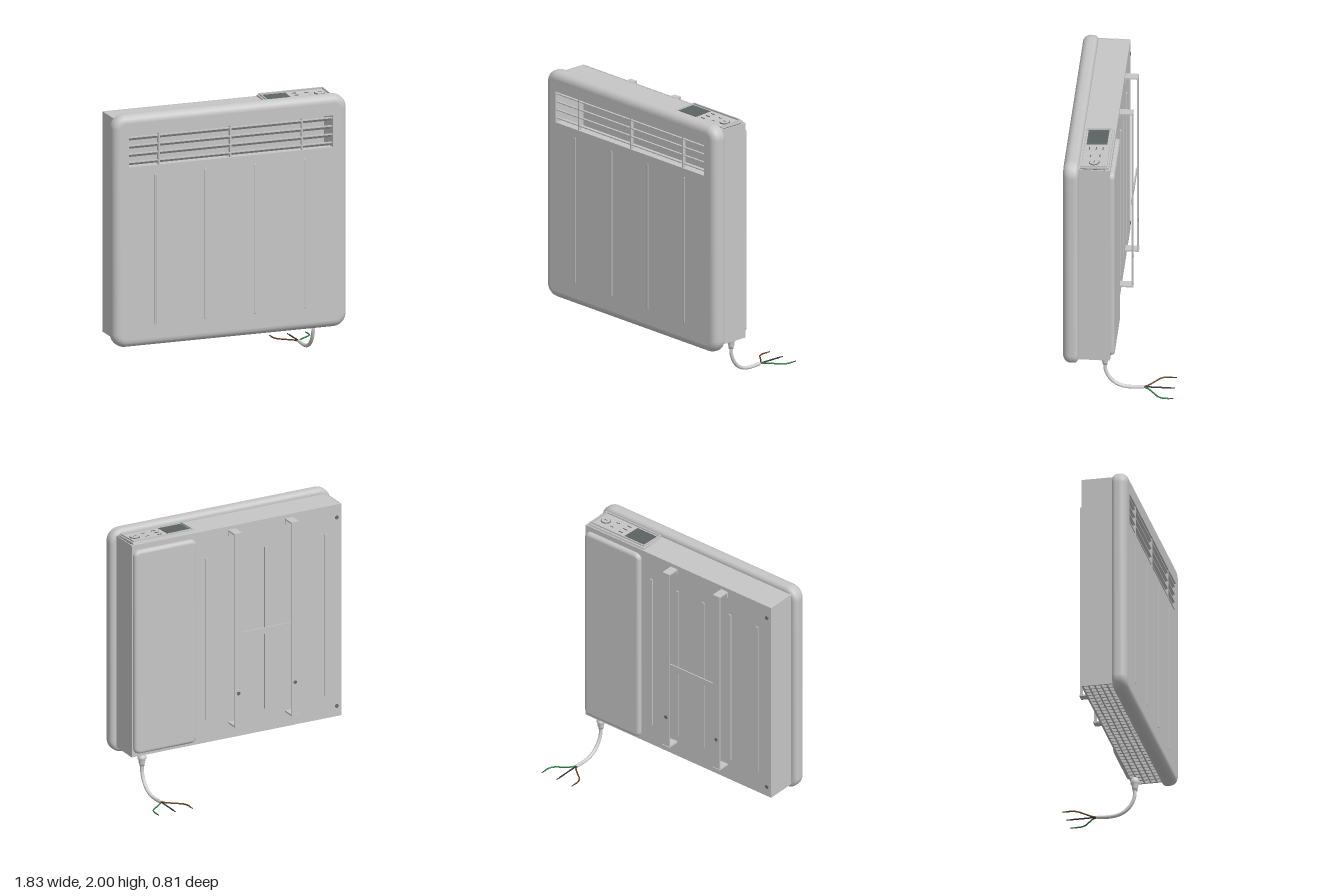
import * as THREE from 'three';

const mat = (name, color, side = THREE.FrontSide) => {
  const m = new THREE.MeshStandardMaterial({ color, side });
  m.name = name;
  return m;
};

export function createModel() {
  const root = new THREE.Group();
  root.name = 'panelHeater';
  const casing = mat('casing grey', 0xc6c6c6, THREE.DoubleSide);
  const screen = mat('screen grey', 0x5c6363);
  const mark = mat('marking grey', 0x6a6a6a);
  const cableMat = mat('cable light grey', 0xd2d2d2);
  const brown = mat('wire brown', 0x6b3f1e);
  const green = mat('wire green', 0x2e8040);
  const dark = mat('wire dark', 0x333333);

  const add = (name, geo, material, parent = root) => {
    const m = new THREE.Mesh(geo, material);
    m.name = name;
    parent.add(m);
    return m;
  };
  // Box given by its minimum and maximum corners
  const box = (name, x0, x1, y0, y1, z0, z1, material = casing, parent = root) => {
    const m = add(name, new THREE.BoxGeometry(x1 - x0, y1 - y0, z1 - z0), material, parent);
    m.position.set((x0 + x1) / 2, (y0 + y1) / 2, (z0 + z1) / 2);
    return m;
  };

  // Rounded rectangle points, counter-clockwise, around the origin
  const roundRect = (w, h, r, n = 8) => {
    const pts = [];
    [[1, 1], [-1, 1], [-1, -1], [1, -1]].forEach(([sx, sy], q) => {
      for (let i = 0; i <= n; i++) {
        const a = (q + i / n) * Math.PI / 2;
        pts.push(new THREE.Vector2(sx * (w / 2 - r) + r * Math.cos(a), sy * (h / 2 - r) + r * Math.sin(a)));
      }
    });
    return pts;
  };
  // Smooth rim through rounded rectangles; profile is [inset, z] pairs
  const rim = (w, h, r, profile) => {
    const pos = [], idx = [];
    let n = 0;
    profile.forEach(([inset, z]) => {
      const pts = roundRect(w - 2 * inset, h - 2 * inset, r - inset);
      n = pts.length;
      pts.forEach(p => pos.push(p.x, p.y, z));
    });
    for (let k = 0; k < profile.length - 1; k++) {
      for (let i = 0; i < n; i++) {
        const a = k * n + i, b = k * n + (i + 1) % n;
        idx.push(a, b, b + n, a, b + n, a + n);
      }
    }
    const g = new THREE.BufferGeometry();
    g.setAttribute('position', new THREE.Float32BufferAttribute(pos, 3));
    g.setIndex(idx);
    g.computeVertexNormals();
    return g;
  };
  const arc = (r, cz, from, to, n = 7) => Array.from({ length: n + 1 }, (_, i) => {
    const a = from + (to - from) * i / n;
    return [r - r * Math.cos(a), cz + r * Math.sin(a)];
  });

  // Front panel: rounded rim, face with the outlet opening, back border
  const front = new THREE.Group();
  front.name = 'frontPanel';
  front.position.y = 1.128;
  root.add(front);
  const W = 1.83, H = 1.744, R = 0.1;
  add('panelRim', rim(W, H, R, [...arc(0.035, 0.328, -Math.PI / 2, 0), ...arc(0.055, 0.35, 0, Math.PI / 2)]), casing, front);
  const rectHole = (w, h, cy, r) => new THREE.Path(roundRect(w, h, r, 3).map(p => p.add(new THREE.Vector2(0, cy))));
  const face = new THREE.Shape(roundRect(W - 0.11, H - 0.11, R - 0.055));
  face.holes.push(rectHole(1.61, 0.255, 0.605, 0.015));
  add('panelFace', new THREE.ShapeGeometry(face), casing, front).position.z = 0.405;
  const border = new THREE.Shape(roundRect(W - 0.07, H - 0.07, R - 0.035));
  border.holes.push(rectHole(1.72, 1.64, 0.002, 0.01));
  add('panelBack', new THREE.ShapeGeometry(border), casing, front).position.z = 0.293;

  // Pressed vertical ribs on the face
  for (const x of [-0.59, -0.2, 0.19, 0.58]) {
    const rib = add('frontRib', new THREE.CapsuleGeometry(0.01, 1.11, 4, 10), casing);
    rib.scale.z = 0.4;
    rib.position.set(x, 0.985, 0.405);
  }

  // Air outlet: frame, angled louvres and dividers
  for (const s of [-1, 1]) {
    const x = s * 0.803, y = 1.733 + s * 0.124;
    box('outletSide', x - 0.006, x + 0.006, 1.605, 1.86, 0.3, 0.405);
    box('outletEdge', -0.805, 0.805, y - 0.005, y + 0.005, 0.3, 0.405);
  }
  for (let i = 0; i < 4; i++) {
    const y = 1.816 - i * 0.062;
    const louvre = box('louvre', -0.8, 0.8, y - 0.002, y + 0.002, 0.335, 0.395);
    louvre.rotation.x = -0.55;
    box('louvreLip', -0.8, 0.8, y + 0.013, y + 0.021, 0.382, 0.398);
  }
  for (const x of [-0.56, 0, 0.56]) box('outletDivider', x - 0.006, x + 0.006, 1.605, 1.86, 0.375, 0.4);

  // Hollow rear body
  box('backPlate', -0.87, 0.87, 0.305, 1.96, 0.062, 0.072);
  box('topPlate', -0.87, 0.87, 1.948, 1.958, 0.062, 0.3);
  for (const s of [-1, 1]) box('sidePlate', s * 0.865 - 0.005, s * 0.865 + 0.005, 0.305, 1.96, 0.062, 0.3);

  // Bottom air inlet grid
  for (let i = 0; i <= 5; i++) {
    const z = 0.07 + i * 0.045;
    box('inletLongBar', -0.87, 0.87, 0.305, 0.317, z - 0.006, z + 0.006);
  }
  for (let i = 0; i <= 32; i++) {
    const x = -0.862 + i * 1.724 / 32;
    box('inletCrossBar', x - 0.006, x + 0.006, 0.306, 0.316, 0.066, 0.3);
  }

  // Rounded electronics cover on the back
  const cover = new THREE.Group();
  cover.name = 'backCover';
  cover.position.set(0.602, 1.125, 0);
  cover.rotation.y = Math.PI;
  root.add(cover);
  add('coverRim', rim(0.516, 1.59, 0.045, [[0, -0.065], ...arc(0.025, -0.055, 0, Math.PI / 2, 5)]), casing, cover);
  add('coverFace', new THREE.ShapeGeometry(new THREE.Shape(roundRect(0.466, 1.54, 0.02))), casing, cover).position.z = -0.03;

  // Pressed ribs and screws on the back plate
  for (const x of [0.25, 0.005, -0.24, -0.485, -0.74]) box('backRib', x - 0.012, x + 0.012, 0.48, 1.745, 0.053, 0.064);
  const screw = (x, y, z) => {
    const m = add('screw', new THREE.CylinderGeometry(0.014, 0.014, 0.008, 16), mark);
    m.rotation.x = Math.PI / 2;
    m.position.set(x, y, z);
  };
  for (const y of [0.385, 1.86]) screw(-0.83, y, 0.06);

  // Wall bracket: two rails with arms, joined by a crossbar
  for (const x of [-0.433, 0.038]) {
    box('bracketRail', x - 0.032, x + 0.032, 0.42, 1.932, -0.034, -0.026);
    box('bracketTopArm', x - 0.032, x + 0.032, 1.922, 1.932, -0.034, 0.064);
    box('bracketTopLip', x - 0.032, x + 0.032, 1.885, 1.932, 0.052, 0.062);
    box('bracketBottomArm', x - 0.032, x + 0.032, 0.42, 0.432, -0.04, 0.064);
    screw(x, 0.68, -0.033);
  }
  box('bracketCrossbar', -0.41, 0.01, 1.1, 1.15, -0.026, 0.018 - 0.036);

  // Control unit on top, sloping down towards the front
  const wedge = new THREE.Shape([[-0.288, 1.945], [-0.066, 1.945], [-0.075, 1.975], [-0.288, 1.962]].map(p => new THREE.Vector2(...p)));
  const unit = add('controlUnit', new THREE.ExtrudeGeometry(wedge, { depth: 0.52, bevelEnabled: false }), casing);
  unit.rotation.y = Math.PI / 2;
  unit.position.x = 0.333;
  const panel = new THREE.Group();
  panel.name = 'controlPanel';
  panel.position.set(0.593, 1.969, 0.185);
  panel.rotation.x = 0.061;
  root.add(panel);
  // Plates lie in panel coordinates: x and z from the panel centre
  const plate = (name, x, z, w, d, h, material) => box(name, x - w / 2, x + w / 2, 0, h, z - d / 2, z + d / 2, material, panel);
  for (const s of [-1, 1]) {
    plate('panelFrameLong', 0, s * 0.094, 0.5, 0.009, 0.012, casing);
    plate('panelFrameShort', s * 0.246, 0, 0.009, 0.188, 0.012, casing);
  }
  plate('displaySurround', -0.143, 0, 0.185, 0.152, 0.003, mark);
  plate('display', -0.143, 0, 0.17, 0.137, 0.005, screen);
  for (const z of [-0.05, 0, 0.05]) {
    plate('buttonMark', 0.005, z, 0.035, 0.006, 0.004, mark);
  }
  for (const s of [-1, 1]) {
    for (const t of [-1, 1]) {
      plate('arrowMark', 0.1 + t * 0.007, s * 0.034, 0.017, 0.004, 0.004, mark).rotation.y = -s * t * 0.6;
    }
  }
  add('dialRing', new THREE.CylinderGeometry(0.038, 0.038, 0.005, 32), mark, panel).position.set(0.185, 0.002, 0);
  add('dial', new THREE.CylinderGeometry(0.034, 0.034, 0.009, 32), casing, panel).position.set(0.185, 0.004, 0);
  plate('dialMark', 0.185, 0, 0.03, 0.005, 0.01, mark);
  box('topSlot', 0.856, 0.862, 1.957, 1.962, 0.1, 0.28, mark);

  // Stepped strain relief under the body
  const profile = [[0, 0.305], [0.022, 0.305], [0.022, 0.28], [0.032, 0.28], [0.032, 0.262], [0.026, 0.26], [0.026, 0.245],
    [0.023, 0.243], [0.023, 0.228], [0.02, 0.226], [0.018, 0.205], [0, 0.205]].reverse();
  add('strainRelief', new THREE.LatheGeometry(profile.map(p => new THREE.Vector2(...p)), 24), cableMat).position.set(0.762, 0, 0.107);

  // Cable and its three wires
  const tube = (name, pts, r, material) => {
    const curve = new THREE.CatmullRomCurve3(pts.map(p => new THREE.Vector3(...p)));
    add(name, new THREE.TubeGeometry(curve, 40, r, 12), material);
    const end = add(name + 'End', new THREE.SphereGeometry(r, 12, 8), material);
    end.position.set(...pts[pts.length - 1]);
  };
  tube('cable', [[0.762, 0.21, 0.107], [0.762, 0.16, 0.104], [0.762, 0.1, 0.08], [0.762, 0.05, 0.035],
    [0.762, 0.024, -0.02], [0.762, 0.016, -0.08], [0.762, 0.02, -0.17]], 0.0135, cableMat);
  [['brownWire', -1, brown], ['darkWire', 0, dark], ['greenWire', 1, green]].forEach(([name, s, material]) => {
    const x = d => 0.762 + s * d;
    tube(name, [[x(0), 0.02, -0.165], [x(0.02), 0.021, -0.205], [x(0.075), 0.021, -0.252],
      [x(0.125), 0.021, -0.295], [x(0.14), 0.021, -0.335], [x(0.14), 0.021, -0.37]], 0.0055, material);
    tube('wireTip', [[x(0.14), 0.021, -0.365], [x(0.14), 0.021, -0.402]], 0.0035, dark);
  });

  return root;
}
